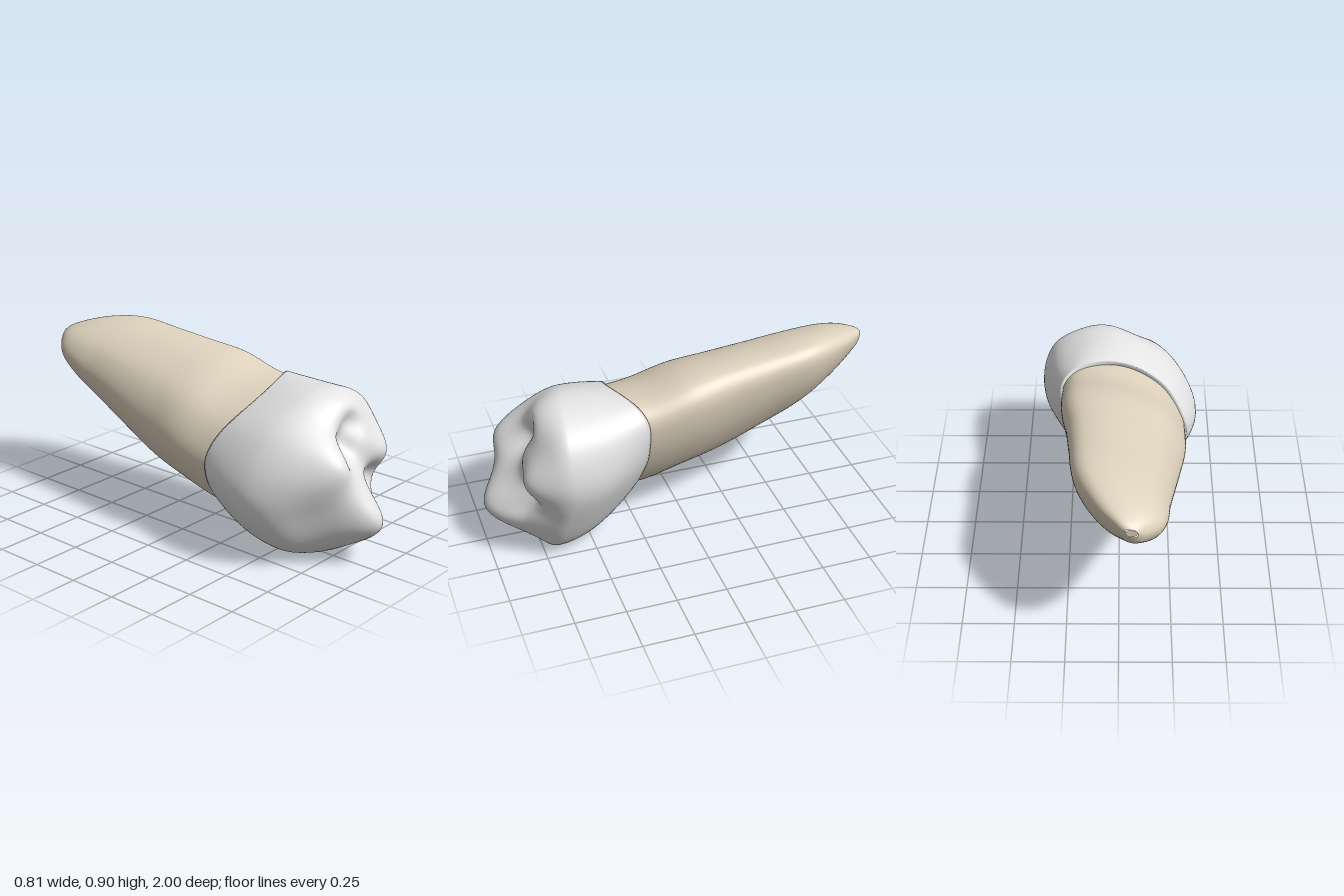
import * as THREE from 'three';

const N = 96; // points around every ring

// Closed unit outlines, counter-clockwise from the right
const outline = (pts) => {
  const curve = new THREE.CatmullRomCurve3(pts.map(([x, y]) => new THREE.Vector3(x, y, 0)), true);
  return Array.from({ length: N }, (_, j) => curve.getPoint(j / N));
};
const ROOT = outline([[0.97, 0.35], [0.98, 0.75], [0.81, 0.95], [0.42, 1], [-0.15, 0.86], [-0.72, 0.49],
  [-1, -0.08], [-0.94, -0.5], [-0.64, -0.88], [-0.12, -1], [0.35, -0.81], [0.75, -0.26]]);
const CROWN = outline([[1, 0.2], [0.85, 0.72], [0.52, 0.94], [0.12, 1], [-0.3, 0.86], [-0.72, 0.56],
  [-1, -0.02], [-0.89, -0.47], [-0.53, -0.85], [0.25, -1], [0.53, -0.9], [0.82, -0.4]]);

// Fit a unit outline point into the bounds x0..x1, y0..y1
const fit = (p, [x0, x1, y0, y1]) => [
  (x0 + x1) / 2 + (p.x * (x1 - x0)) / 2,
  (y0 + y1) / 2 + (p.y * (y1 - y0)) / 2,
];

// Skin a stack of rings ordered from back to front
function loft(rings) {
  const pos = rings.flat(2);
  const index = [];
  for (let i = 0; i < rings.length - 1; i++) {
    for (let j = 0; j < N; j++) {
      const a = i * N + j, b = i * N + ((j + 1) % N);
      index.push(a, b, b + N, a, b + N, a + N);
    }
  }
  const g = new THREE.BufferGeometry();
  g.setAttribute('position', new THREE.Float32BufferAttribute(pos, 3));
  g.setIndex(index);
  g.computeVertexNormals();
  return g;
}

// Root: z, then left, right, bottom and top bounds
const ROOT_SECTIONS = [
  [-1, -0.085, -0.03, 0.765, 0.81],
  [-0.985, -0.11, -0.005, 0.725, 0.825],
  [-0.95, -0.15, 0.03, 0.69, 0.842],
  [-0.9, -0.19, 0.075, 0.65, 0.86],
  [-0.8, -0.22, 0.14, 0.578, 0.885],
  [-0.65, -0.235, 0.205, 0.49, 0.9],
  [-0.4, -0.27, 0.235, 0.37, 0.88],
  [-0.2, -0.3, 0.255, 0.285, 0.86],
  [0, -0.33, 0.285, 0.235, 0.835],
  [0.2, -0.335, 0.288, 0.185, 0.78],
  [0.36, -0.33, 0.28, 0.17, 0.76],
];

function rootGeometry() {
  const spline = new THREE.CubicInterpolant(
    ROOT_SECTIONS.map((s) => s[0]), ROOT_SECTIONS.flatMap((s) => s.slice(1)), 4);
  const rings = [];
  for (let i = 0; i <= 70; i++) {
    const z = -1 + 1.36 * (i / 70) ** 1.4;
    const b = Array.from(spline.evaluate(z));
    rings.push(ROOT.map((p) => [...fit(p, b), z]));
  }
  return loft(rings);
}

// Chewing surface height: cusps, ridges and grooves as [x, y, radius, height]
const RELIEF = [
  [0.03, 0.19, 0.12, 0.24],   // main cusp
  [-0.05, 0.37, 0.11, 0.1],   // central ridge
  [-0.13, 0.57, 0.09, 0.11],
  [-0.24, 0.48, 0.11, 0.09],  // outer shoulder
  [0.3, 0.48, 0.1, 0.13],     // side cusp
  [0.12, 0.56, 0.06, 0.03],   // inner ridge
  [0.1, 0.74, 0.1, 0.08],     // upper rim
  [0.01, 0.57, 0.055, -0.09], // pit
  [0.09, 0.66, 0.045, -0.06],
  [0.2, 0.37, 0.05, -0.06],   // side groove
  [0.17, 0.27, 0.04, -0.03],
  [0.24, 0.22, 0.06, 0.04],   // lower ledge
];
const relief = (x, y) => RELIEF.reduce((h, [cx, cy, r, k]) =>
  h + k * Math.exp(-((x - cx) ** 2 + (y - cy) ** 2) / (2 * r * r)), 0.76);

function crownGeometry() {
  const neck = [-0.342, 0.295, 0.175, 0.785];
  const widest = [-0.405, 0.405, 0, 0.8];
  // The gum line arches forward on the upper left and a little underneath
  const neckZ = (p) => 0.225 + 0.19 * Math.max(0, 0.94 * p.y - 0.35 * p.x) ** 3
    + 0.03 * Math.max(0, -p.y);
  const widestZ = (p) => 0.55 + 0.07 * p.x - (p.y > 0 ? -0.03 : 0.11) * p.y;
  const rings = [];
  // Rolled edge at the gum line
  rings.push(ROOT.map((p) => [...fit(p, [-0.318, 0.271, 0.205, 0.755]), neckZ(p) + 0.012]));
  // Side walls
  for (let i = 0; i <= 22; i++) {
    const t = i / 22, e = Math.sin((t * Math.PI) / 2) ** 0.9;
    rings.push(CROWN.map((c, j) => {
      const a = fit(ROOT[j], neck), b = fit(c, widest);
      return [a[0] + (b[0] - a[0]) * e, a[1] + (b[1] - a[1]) * e,
        neckZ(ROOT[j]) + (widestZ(c) - neckZ(ROOT[j])) * t];
    }));
  }
  // Chewing surface, closing in on the middle
  for (let i = 1; i <= 44; i++) {
    const s = Math.cos((i / 44) * (Math.PI / 2));
    rings.push(CROWN.map((c) => {
      const [ex, ey] = fit(c, widest);
      const x = 0.02 + (ex - 0.02) * s, y = 0.38 + (ey - 0.38) * s;
      return [x, y, widestZ(c) + (relief(x, y) - widestZ(c)) * Math.sqrt(1 - s ** 3)];
    }));
  }
  // Settle the tip of the main cusp at z = 1
  const top = Math.max(...rings.flat().map((p) => p[2]));
  for (const p of rings.flat()) if (p[2] > 0.7) p[2] = 0.7 + ((p[2] - 0.7) * 0.3) / (top - 0.7);
  return loft(rings);
}

export function createModel() {
  const enamel = new THREE.MeshStandardMaterial({ color: 0xe4e4e4 });
  enamel.name = 'enamel';
  const dentine = new THREE.MeshStandardMaterial({ color: 0xdfd3be });
  dentine.name = 'dentine';

  const model = new THREE.Group();
  model.name = 'tooth';
  const add = (name, geometry, material) => {
    const mesh = new THREE.Mesh(geometry, material);
    mesh.name = name;
    model.add(mesh);
    return mesh;
  };
  add('crown', crownGeometry(), enamel);
  add('root', rootGeometry(), dentine);

  // Small dimple closing the root tip
  const tip = add('rootTip', new THREE.CircleGeometry(0.026, 24), dentine);
  tip.scale.y = 0.8;
  tip.rotation.y = Math.PI;
  tip.position.set(-0.0575, 0.7875, -0.998);
  return model;
}
